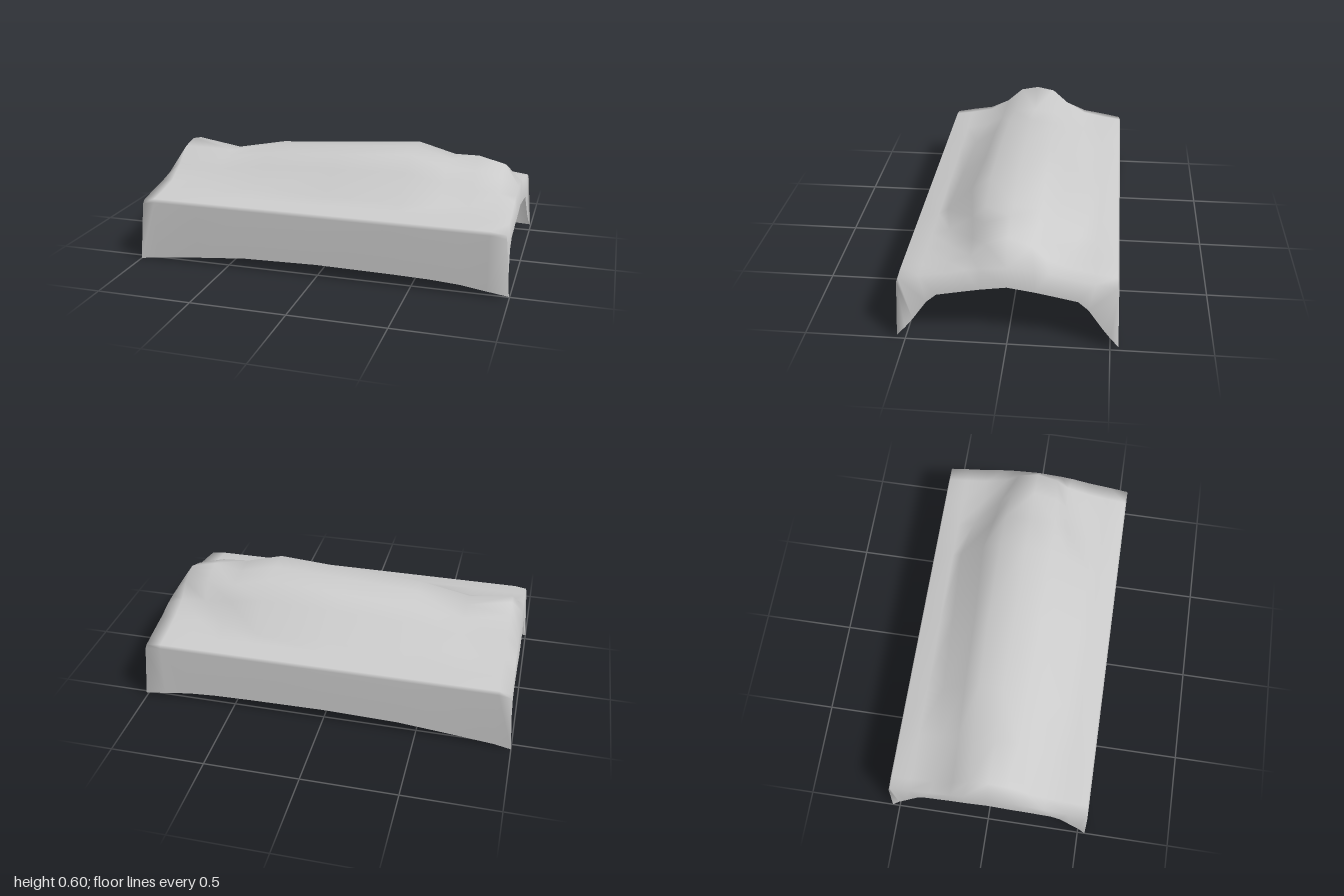
import * as THREE from 'three';

// Half cross-sections along the length: x, ridge height, then three [z, y] points down the slope, hem height
const SECTIONS = [
  [-0.97, 0.43, [0.13, 0.415], [0.2, 0.4], [0.3, 0.375], 0.0],
  [-0.91, 0.55, [0.1, 0.53], [0.19, 0.45], [0.3, 0.385], 0.01],
  [-0.67, 0.5, [0.12, 0.485], [0.2, 0.44], [0.3, 0.385], 0.035],
  [-0.4, 0.55, [0.13, 0.535], [0.21, 0.48], [0.33, 0.39], 0.06],
  [0, 0.575, [0.14, 0.56], [0.22, 0.5], [0.35, 0.39], 0.07],
  [0.4, 0.6, [0.14, 0.59], [0.24, 0.52], [0.37, 0.39], 0.065],
  [0.6, 0.545, [0.14, 0.535], [0.21, 0.47], [0.33, 0.39], 0.06],
  [0.75, 0.575, [0.13, 0.53], [0.19, 0.44], [0.3, 0.385], 0.05],
  [0.89, 0.54, [0.11, 0.5], [0.18, 0.43], [0.3, 0.385], 0.03],
  [0.97, 0.42, [0.13, 0.41], [0.2, 0.4], [0.3, 0.375], 0.02],
];

// Arched hem of the end flaps, from the middle out to the corner: [x, y, z]
const END_HEM = [
  [0.982, 0.32, 0], [0.982, 0.3, 0.13], [0.98, 0.285, 0.2], [0.978, 0.255, 0.34],
  [0.978, 0.21, 0.39], [0.985, 0.11, 0.46], [0.99, 0.06, 0.5], [1, 0.01, 0.54],
];

// Ridge, slope, flat shoulder and side skirt of one section
function halfSection([x, top, a, b, c, hem]) {
  const end = Math.abs(x) > 0.95;
  const drop = end ? 0.01 : 0;
  return [
    [x, top, 0],
    ...[a, b, c].map(([z, y]) => [x, y, z]),
    [x, 0.36 - drop / 2, 0.42],
    [x, 0.345 - drop, 0.522],
    [x * (end ? 1.005 : 1), 0.325 - drop, 0.53],
    [end ? Math.sign(x) : x, hem, end ? 0.54 : 0.53],
  ];
}

// Mirror a half section into a full row running from front hem to back hem
function fullRow(half) {
  const back = half.slice(1).map(([x, y, z]) => [x, y, -z]);
  return [...half.slice().reverse(), ...back];
}

function endHem(side, cornerY) {
  return END_HEM.map(([x, y, z], i) => [side * x, i === 7 ? cornerY : y, z]);
}

// Skin a list of equal rows with one smooth sheet
function skin(rows) {
  const n = rows[0].length;
  const index = [];
  for (let i = 0; i < rows.length - 1; i++) {
    for (let j = 0; j < n - 1; j++) {
      const a = i * n + j, b = a + n;
      if (j < n / 2 - 1) index.push(a, b, b + 1, a, b + 1, a + 1);
      else index.push(a, b, a + 1, b, b + 1, a + 1);
    }
  }
  const geometry = new THREE.BufferGeometry();
  geometry.setAttribute('position', new THREE.Float32BufferAttribute(rows.flat(2), 3));
  geometry.setIndex(index);
  geometry.computeVertexNormals();
  return geometry;
}

export function createModel() {
  const group = new THREE.Group();
  group.name = 'drapedCover';

  // Draped sheet: end flap, body sections, end flap
  const halves = [endHem(-1, 0), ...SECTIONS.map(halfSection), endHem(1, 0.02)];
  const material = new THREE.MeshStandardMaterial({ color: 0xcccccc, side: THREE.DoubleSide });
  const sheet = new THREE.Mesh(skin(halves.map(fullRow)), material);
  sheet.name = 'coverSheet';
  group.add(sheet);
  return group;
}
